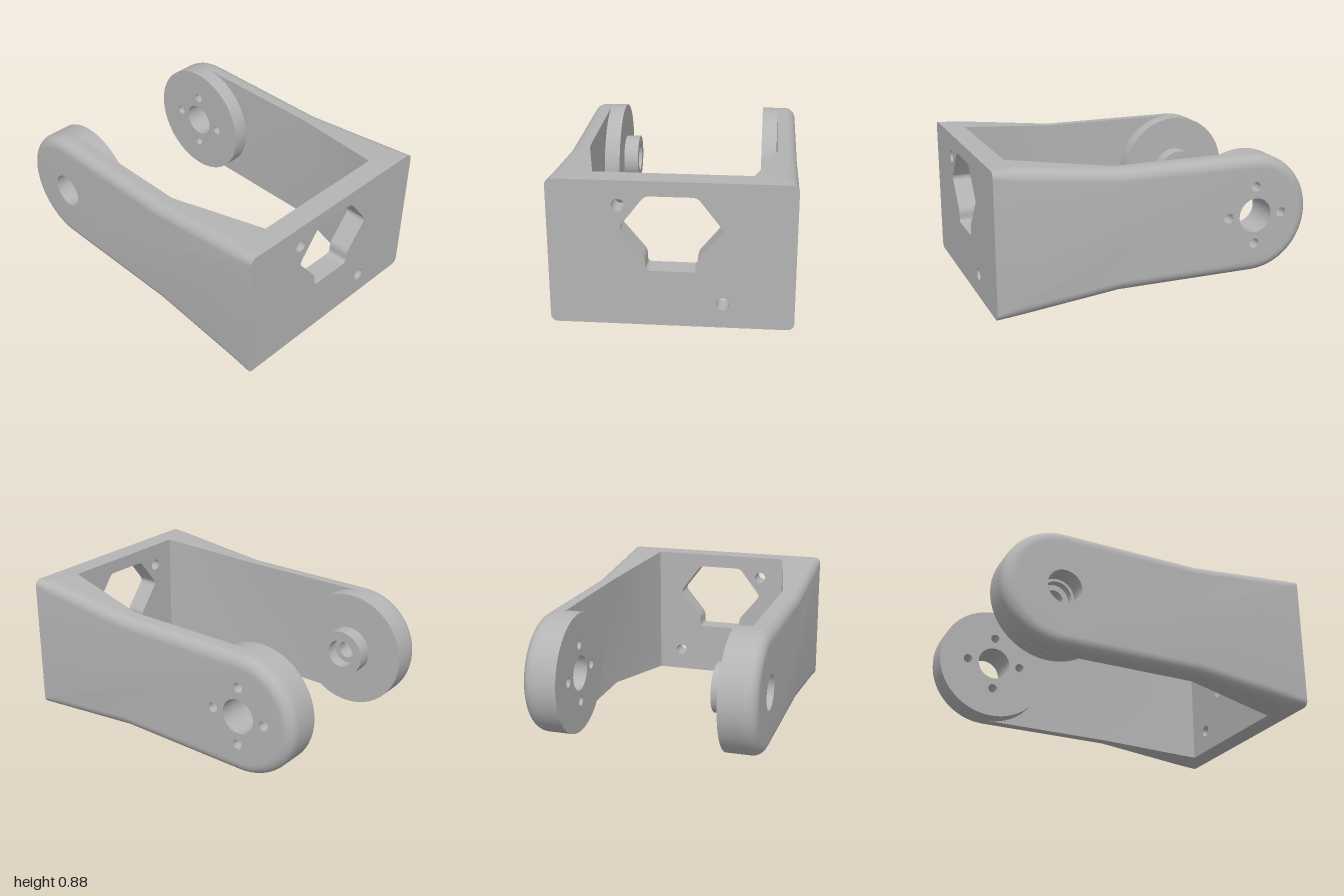
import * as THREE from 'three';
import { mergeGeometries, toCreasedNormals } from 'three/addons/utils/BufferGeometryUtils.js';

const HALF = 0.4375;   // half height of the end plate
const PIVOT = -0.63;   // x of the pivot axis
const R = 0.37;        // radius of the rounded arm end
const Z_OUT = 0.695, Z_IN = 0.575, Z_DISC = 0.475, Z_BOSS = 0.38;
const X_BEND = 0.25, X_PLATE = 0.87, Z_PLATE = 0.45;

const grey = new THREE.MeshStandardMaterial({ color: 0xb4b4b4, side: THREE.DoubleSide });
grey.name = 'grey metal';

function mesh(name, geometry) {
  const m = new THREE.Mesh(toCreasedNormals(geometry, 0.5), grey);
  m.name = name;
  return m;
}

const circle = (x, y, r) => new THREE.Path().absarc(x, y, r, 0, Math.PI * 2, false);

// closed shape with each corner softened by r
function roundedPath(points, r) {
  const path = new THREE.Path();
  points.forEach(([x, y], i) => {
    const c = new THREE.Vector2(x, y);
    const toward = (j) => {
      const p = new THREE.Vector2(...points[(j + points.length) % points.length]);
      return p.sub(c).setLength(r).add(c);
    };
    const a = toward(i - 1), b = toward(i + 1);
    if (i === 0) path.moveTo(a.x, a.y); else path.lineTo(a.x, a.y);
    path.quadraticCurveTo(x, y, b.x, b.y);
  });
  path.closePath();
  return path;
}

function extrude(shape, depth, z) {
  return new THREE.ExtrudeGeometry(shape, { depth, bevelEnabled: false, curveSegments: 64 }).translate(0, 0, z);
}

// round disc on the pivot axis, pierced by holes given as [dx, dy, r]
function disc(radius, holes, z0, z1) {
  const shape = new THREE.Shape().absarc(PIVOT, 0, radius, 0, Math.PI * 2, false);
  shape.holes = holes.map(([x, y, r]) => circle(PIVOT + x, y, r));
  return extrude(shape, z1 - z0, z0);
}

// turned hole wall, profile as [radius, z]
function bore(profile, dx = 0, dy = 0) {
  return new THREE.LatheGeometry(profile.map((p) => new THREE.Vector2(...p)), 48)
    .rotateX(Math.PI / 2).translate(PIVOT + dx, dy, 0);
}

function bare(geometry) {
  const g = geometry.index ? geometry.toNonIndexed() : geometry;
  g.deleteAttribute('uv');
  g.deleteAttribute('normal');
  return g;
}

// flat cap through the given points, with holes
function cap(points, holes, z, flip) {
  const shape = new THREE.Shape(points.map((p) => new THREE.Vector2(p[0], p[1])));
  shape.holes = holes.map(([x, y, r]) => circle(PIVOT + x, y, r));
  const g = new THREE.ShapeGeometry(shape, 48).translate(0, 0, z);
  if (flip) g.index.array.reverse();
  return bare(g);
}

// arm with a filleted outer rim and a thickened root
function armGeometry(holes) {
  // outline: x, y, inward direction, fillet radius
  const outline = [
    [1, HALF, 0, -1, 0.04], [X_PLATE, HALF, 0, -1, 0.07], [X_BEND, R, 0, -1, 0.07],
  ];
  for (let i = 0; i <= 32; i++) {
    const a = Math.PI * (0.5 + i / 32), c = Math.cos(a), s = Math.sin(a);
    outline.push([PIVOT + R * c, R * s, -c, -s, 0.07]);
  }
  outline.push([X_BEND, -R, 0, 1, 0.07], [X_PLATE, -HALF, 0, 1, 0.07], [1, -HALF, 0, 1, 0.04]);

  const rings = [outline.map(([x, y]) => [x, y, x > 0.5 ? Z_PLATE : Z_IN])];
  const STEPS = 8;
  for (let k = 0; k <= STEPS; k++) {
    const a = (k / STEPS) * Math.PI / 2;
    rings.push(outline.map(([x, y, nx, ny, r]) => {
      const d = r * (1 - Math.cos(a));
      return [x + nx * d, y + ny * d, Z_OUT - r + r * Math.sin(a)];
    }));
  }
  const pos = [];
  const quad = (a, b, c, d) => pos.push(...a, ...b, ...c, ...a, ...c, ...d);
  for (let k = 0; k < rings.length - 1; k++) {
    for (let i = 0; i < outline.length; i++) {
      const j = (i + 1) % outline.length;
      quad(rings[k][i], rings[k][j], rings[k + 1][j], rings[k + 1][i]);
    }
  }
  // sloping inner face of the root
  quad([X_BEND, -R, Z_IN], [X_BEND, R, Z_IN], [X_PLATE, HALF, Z_PLATE], [X_PLATE, -HALF, Z_PLATE]);
  const sides = new THREE.BufferGeometry();
  sides.setAttribute('position', new THREE.Float32BufferAttribute(pos, 3));

  return mergeGeometries([
    sides,
    cap(rings[rings.length - 1], holes, Z_OUT, false),
    cap(outline.filter((p) => p[0] <= X_BEND), holes, Z_IN, true),
  ]);
}

export function createModel() {
  const model = new THREE.Group();
  model.name = 'pivotBracket';

  // end plate with a hexagonal window and two screw holes
  const plate = new THREE.Shape([
    [-Z_PLATE, 0], [Z_PLATE, 0], [Z_PLATE, HALF * 2], [-Z_PLATE, HALF * 2],
  ].map((p) => new THREE.Vector2(...p)));
  const side = [[0.145, 0.34], [0.145, 0.415], [0.292, 0.595], [0.145, 0.787]];
  const windowPoints = [...side, ...side.map(([x, y]) => [-x, y]).reverse()];
  plate.holes = [roundedPath(windowPoints, 0.028), circle(-0.293, 0.73, 0.037), circle(0.29, 0.147, 0.037)];
  const plateGeometry = extrude(plate, 1 - X_PLATE, X_PLATE).rotateY(Math.PI / 2);
  model.add(mesh('endPlate', plateGeometry));

  // front arm: stepped bore and a raised boss
  const front = new THREE.Group();
  front.name = 'frontArm';
  front.position.y = HALF;
  const centre = [[0, 0, 0.107]];
  front.add(
    mesh('frontArmBody', armGeometry(centre)),
    mesh('frontDisc', disc(R, centre, Z_DISC, Z_IN)),
    mesh('frontBoss', disc(0.15, [[0, 0, 0.09]], Z_BOSS, Z_DISC)),
    mesh('frontBore', bore([
      [0.107, Z_OUT], [0.107, Z_IN], [0.09, Z_IN], [0.09, 0.53],
      [0.055, 0.53], [0.055, 0.46], [0.09, 0.46], [0.09, Z_BOSS],
    ])),
  );
  model.add(front);

  // back arm: the same arm turned over, with four screw holes round the bore
  const back = new THREE.Group();
  back.name = 'backArm';
  back.position.y = HALF;
  back.rotation.x = Math.PI;
  const holes = [...centre];
  for (const [x, y] of [[1, 0], [0, 1], [-1, 0], [0, -1]]) holes.push([x * 0.18, y * 0.18, 0.03]);
  back.add(mesh('backArmBody', armGeometry(holes)), mesh('backDisc', disc(R, holes, Z_DISC, Z_IN)));
  for (const [x, y, r] of holes) back.add(mesh('backHole', bore([[r, Z_OUT], [r, Z_IN]], x, y)));
  model.add(back);

  return model;
}
